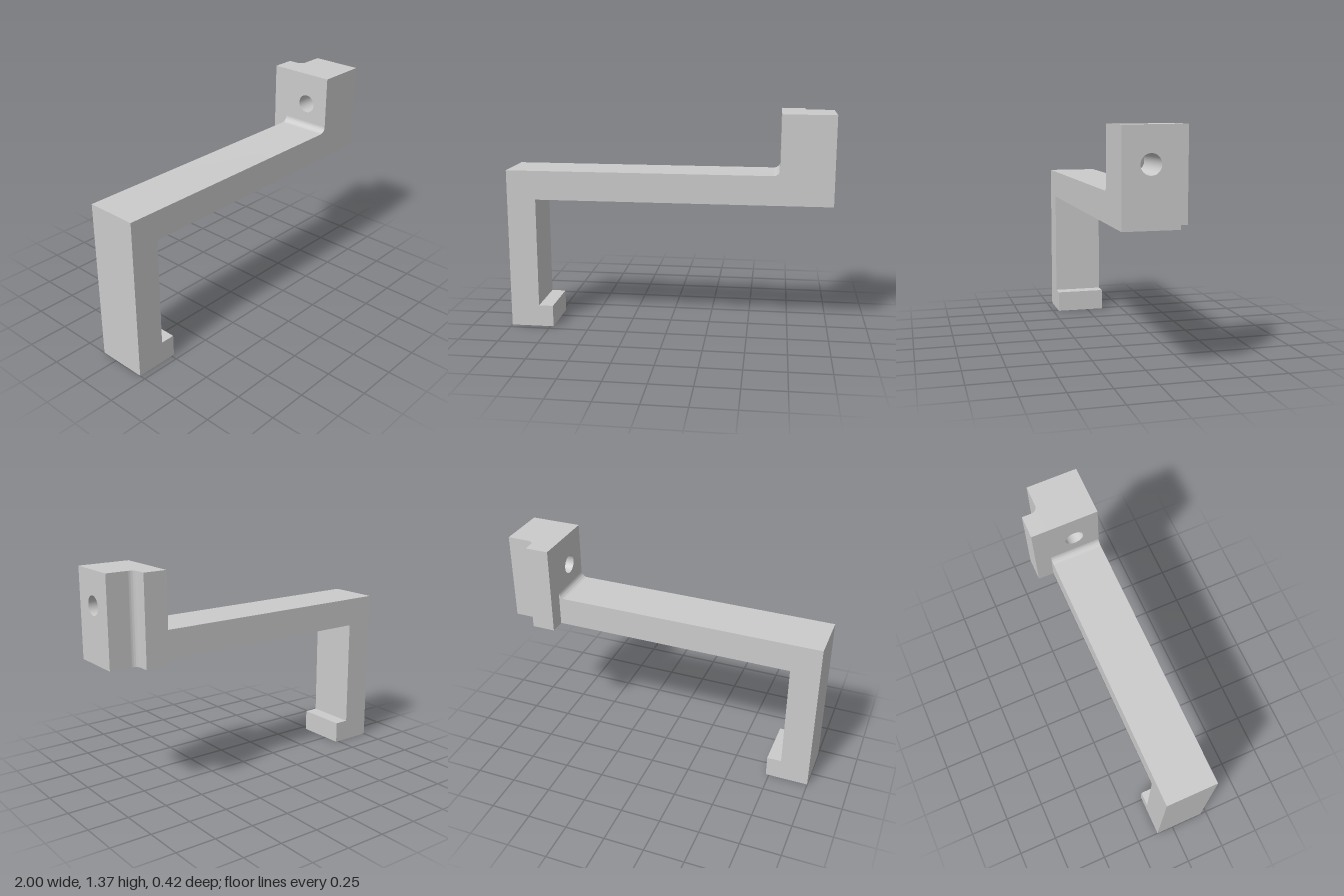
import * as THREE from 'three';
import { toCreasedNormals } from 'three/addons/utils/BufferGeometryUtils.js';

const FRONT = 0.21, BACK = -0.11;   // z range of the bar
const BLOCK = 0.68, END = 1;        // x range of the end block
const UNDER = 0.825, BAR_TOP = 1.005, TOP = 1.37;
const R = 0.04;                     // fillet radius

function extrude(shape, depth) {
  const geometry = new THREE.ExtrudeGeometry(shape, { depth, bevelEnabled: false, curveSegments: 16 });
  return toCreasedNormals(geometry, Math.PI / 6);
}

export function createModel() {
  const group = new THREE.Group();
  const material = new THREE.MeshStandardMaterial({ color: 0xcccccc });
  const add = (name, geometry) => {
    const mesh = new THREE.Mesh(geometry, material);
    mesh.name = name;
    group.add(mesh);
  };

  // Hooked leg and horizontal bar, with the fillet that meets the end block
  const arm = new THREE.Shape();
  arm.moveTo(-1, 0);
  arm.lineTo(-0.73, 0);
  arm.lineTo(-0.73, 0.137);
  arm.lineTo(-0.82, 0.137);
  arm.lineTo(-0.82, UNDER);
  arm.lineTo(BLOCK, UNDER);
  arm.lineTo(BLOCK, BAR_TOP + R);
  arm.absarc(BLOCK - R, BAR_TOP + R, R, 0, -Math.PI / 2, true);
  arm.lineTo(-1, BAR_TOP);
  arm.closePath();
  add('hookedArm', extrude(arm, FRONT - BACK).translate(0, 0, BACK));

  // End block, drilled through along x (drawn in -z, y)
  const block = new THREE.Shape();
  block.moveTo(-FRONT, UNDER);
  block.lineTo(-BACK, UNDER);
  block.lineTo(-BACK, TOP);
  block.lineTo(-FRONT, TOP);
  block.closePath();
  const hole = new THREE.Path();
  hole.absarc(-0.053, 1.167, 0.058, 0, Math.PI * 2, true);
  block.holes.push(hole);
  add('drilledBlock', extrude(block, END - BLOCK).rotateY(Math.PI / 2).translate(BLOCK, 0, 0));

  // Upright rib behind the block, filleted on its outer side (drawn in x, -z)
  const rib = new THREE.Shape();
  rib.moveTo(BLOCK, -BACK);
  rib.lineTo(0.825 + R, -BACK);
  rib.absarc(0.825 + R, -BACK + R, R, -Math.PI / 2, -Math.PI, true);
  rib.lineTo(0.825, 0.21);
  rib.lineTo(BLOCK, 0.21);
  rib.closePath();
  add('rearRib', extrude(rib, TOP - UNDER).rotateX(-Math.PI / 2).translate(0, UNDER, 0));

  return group;
}
